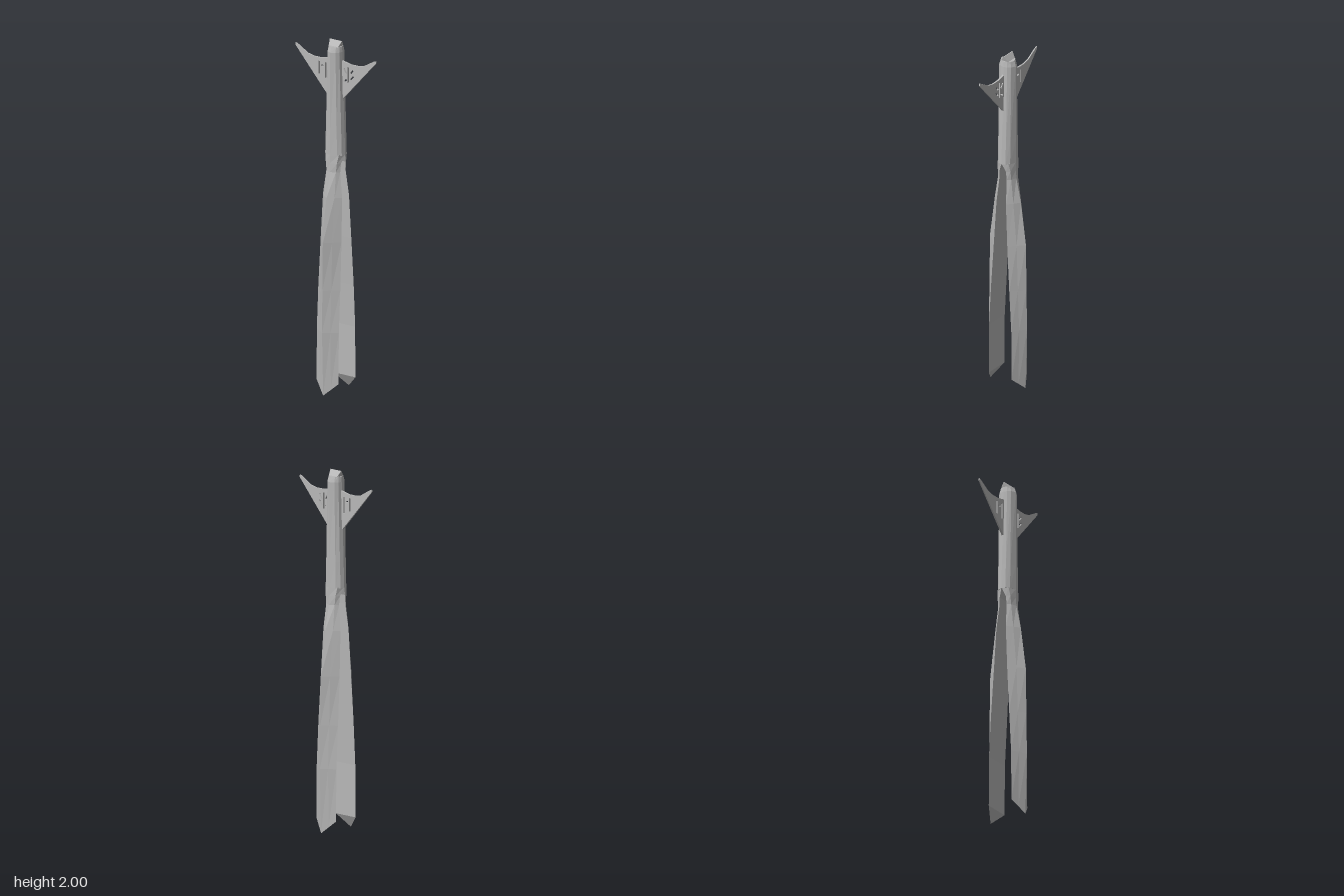
import * as THREE from 'three';

const steel = new THREE.MeshStandardMaterial({ color: 0xb8b8b8, flatShading: true });
steel.name = 'steelGrey';

// Skins a stack of rings (points listed from +x towards +z) and closes both ends.
function loft(name, rings) {
  const n = rings[0].length, index = [];
  rings.slice(1).forEach((_, r) => {
    for (let i = 0; i < n; i++) {
      const a = r * n + i, b = r * n + (i + 1) % n;
      index.push(a, a + n, b, b, a + n, b + n);
    }
  });
  const top = (rings.length - 1) * n;
  for (let i = 1; i < n - 1; i++) {
    index.push(0, i, i + 1, top, top + i + 1, top + i);
  }
  const geo = new THREE.BufferGeometry();
  geo.setAttribute('position', new THREE.Float32BufferAttribute(rings.flat(2), 3));
  geo.setIndex(index);
  geo.computeVertexNormals();
  const mesh = new THREE.Mesh(geo, steel);
  mesh.name = name;
  return mesh;
}

// Prong section: flat inner face, outer ridge, bulge rounds it towards the shaft.
// drop lowers the ridge to form the pointed foot.
function prongRing([y, inner, outer, z, bulge = 0, drop = 0]) {
  const mid = inner + (outer - inner) * (0.5 + 0.17 * bulge);
  const zm = z * (0.5 + 0.25 * bulge);
  return [[inner, y, -z], [mid, y - drop / 2, -zm], [outer, y - drop, 0],
    [mid, y - drop / 2, zm], [inner, y, z]];
}

// Twelve-sided shaft section.
function shaftRing([y, x, z]) {
  const unit = [[1, 0], [0.76, 0.6], [0.42, 0.9], [0, 1], [-0.42, 0.9], [-0.76, 0.6],
    [-1, 0], [-0.76, -0.6], [-0.42, -0.9], [0, -1], [0.42, -0.9], [0.76, -0.6]];
  return unit.map(([u, v]) => [u * x, y, v * z]);
}

const boxRing = (y, x, z) => [[x, y, -z], [x, y, z], [-x, y, z], [-x, y, -z]];

// Narrow slot between two points.
function slot([ax, ay], [bx, by], w = 0.0045) {
  const len = Math.hypot(bx - ax, by - ay);
  const nx = -(by - ay) / len * w, ny = (bx - ax) / len * w;
  return new THREE.Path([[ax + nx, ay + ny], [ax - nx, ay - ny], [bx - nx, by - ny], [bx + nx, by + ny]]
    .map(p => new THREE.Vector2(...p)));
}

// Swept fin, drawn as distance from the shaft and height, thinning to its tip.
function fin(name, slots, side) {
  const outline = [[0.03, 1.655], [0.05, 1.675], [0.275, 1.92], [0.273, 1.933], [0.255, 1.925],
    [0.19, 1.888], [0.15, 1.88], [0.1, 1.88], [0.05, 1.89], [0.03, 1.9]];
  const shape = new THREE.Shape(outline.map(p => new THREE.Vector2(...p)));
  shape.holes = slots.map(s => slot(...s));
  const geo = new THREE.ExtrudeGeometry(shape, { depth: 0.012, bevelEnabled: false });
  geo.translate(0, 0, -0.006);
  const pos = geo.attributes.position;
  for (let i = 0; i < pos.count; i++) {
    pos.setZ(i, pos.getZ(i) * (1 - 1.8 * pos.getX(i)));
  }
  geo.rotateY(-side * Math.PI / 2);
  geo.computeVertexNormals();
  const mesh = new THREE.Mesh(geo, steel);
  mesh.name = name;
  return mesh;
}

export function createModel() {
  const model = new THREE.Group();
  model.name = 'forkedSpear';

  // Two prongs: height, inner x, outer x, half depth, bulge, foot drop
  const prong = [
    [0.07, 0.075, 0.115, 0.075, 0, 0.07],
    [0.36, 0.073, 0.125, 0.075],
    [0.6, 0.06, 0.122, 0.075],
    [0.87, 0.044, 0.118, 0.071],
    [1.12, 0.031, 0.085, 0.065, 0.2],
    [1.26, 0.024, 0.055, 0.047, 0.7],
    [1.31, 0.02, 0.053, 0.05, 1],
    [1.36, 0, 0.053, 0.062, 1],
  ].map(prongRing);
  const left = loft('leftProng', prong);
  const right = loft('rightProng', prong);
  right.rotation.y = Math.PI;

  // Shaft: height, half width, half depth
  const shaft = loft('shaft', [
    [1.355, 0.053, 0.063], [1.5, 0.053, 0.058], [1.94, 0.052, 0.044], [1.97, 0.042, 0.04],
  ].map(shaftRing));

  // Ridged end cap, longer at the ridge than at its foot
  const cap = loft('endCap', [boxRing(1.96, 0.03, 0.029), boxRing(2, 0.002, 0.041)]);

  // Fins with slots cut through
  const front = fin('frontFin', [
    [[0.088, 1.772], [0.088, 1.862]],
    [[0.1, 1.825], [0.12, 1.85]],
    [[0.1, 1.79], [0.122, 1.815]],
    [[0.076, 1.825], [0.058, 1.85]],
    [[0.076, 1.79], [0.058, 1.775]],
  ], 1);
  const back = fin('backFin', [
    [[0.066, 1.77], [0.066, 1.86]],
    [[0.11, 1.785], [0.11, 1.86]],
    [[0.08, 1.838], [0.097, 1.838]],
  ], -1);

  model.add(left, right, shaft, cap, front, back);
  return model;
}
